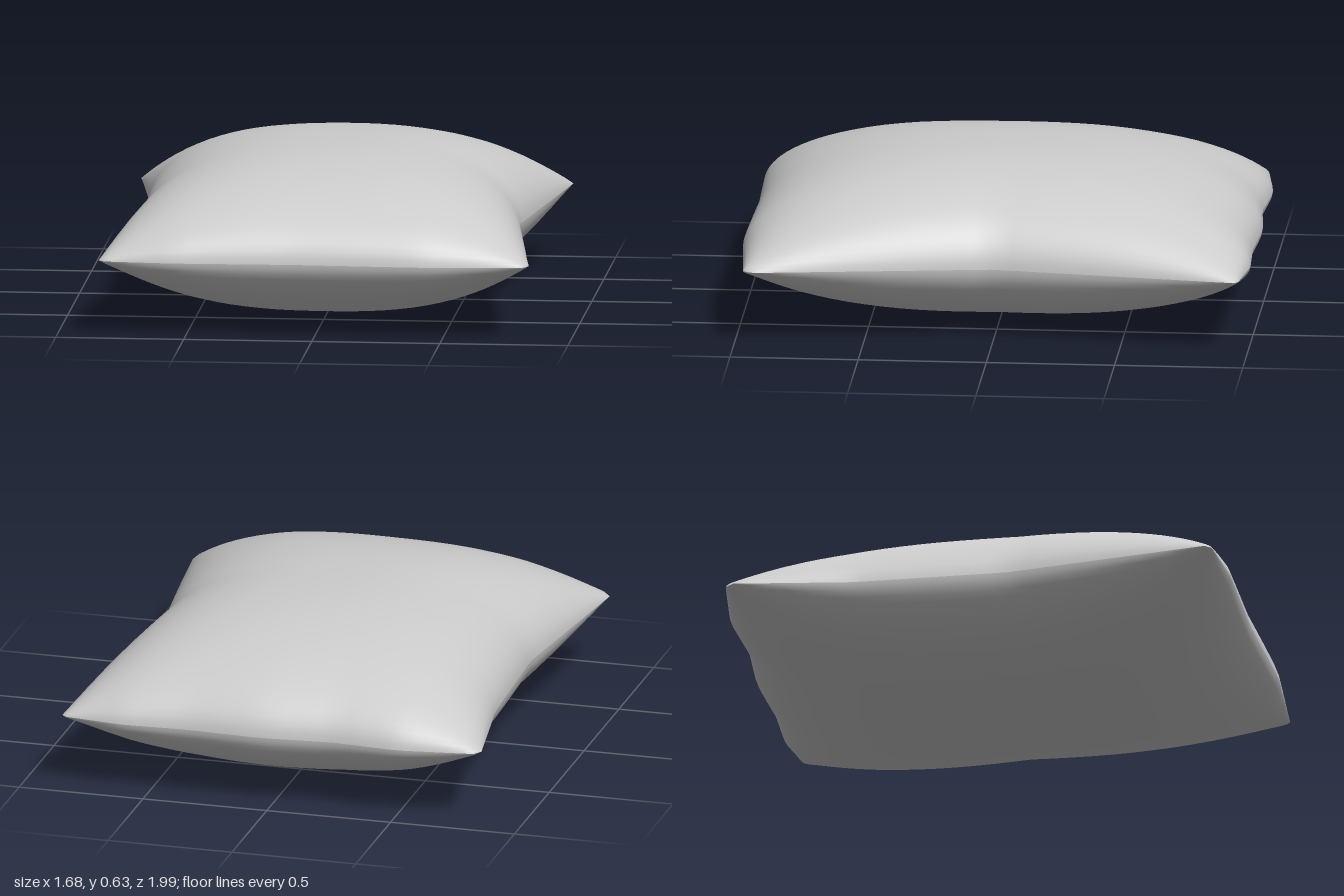
import * as THREE from 'three';

const SEAM = 0.297;

// Seam outline: [position along the edge (-1..1), distance from centre]
const LEFT = [[-1, 0.84], [0, 0.715], [1, 0.84]];                       // +x edge
const RIGHT = [[-1, 0.845], [-0.5, 0.77], [0.15, 0.745], [1, 0.838]];   // -x edge
const BACK = [[-1, 0.92], [-0.97, 0.955], [-0.62, 0.995], [-0.3, 0.975], [0.04, 1],
  [0.4, 0.985], [0.7, 0.997], [0.98, 0.968], [1, 0.95]];
const FRONT = [[-1, 0.945], [-0.97, 0.97], [-0.65, 0.992], [-0.1, 0.98], [0.5, 0.997],
  [0.98, 0.963], [1, 0.92]];

// Linear interpolation along an outline
function along(points, t) {
  let i = 1;
  while (i < points.length - 1 && t > points[i][0]) i++;
  const [a, b] = [points[i - 1], points[i]];
  return THREE.MathUtils.mapLinear(t, a[0], b[0], a[1], b[1]);
}

// Plump cushion profile: full in the middle, falling steeply to the seam
const bulge = (t, power) => Math.pow(Math.max(0, 1 - Math.pow(Math.abs(t), 2.5)), power);

// One fabric panel; side is +1 for the top and -1 for the underside
function makePanel(name, side, height, power, material) {
  const geometry = new THREE.PlaneGeometry(2, 2, 40, 40);
  geometry.rotateX(-side * Math.PI / 2);
  const p = geometry.attributes.position;
  for (let i = 0; i < p.count; i++) {
    // Crowd the grid towards the seam, where the curvature is highest
    const u = Math.sin(p.getX(i) * Math.PI / 2);
    const v = Math.sin(p.getZ(i) * Math.PI / 2);
    const x = u * along(u > 0 ? LEFT : RIGHT, v);
    const z = v * along(v > 0 ? FRONT : BACK, u);
    p.setXYZ(i, x, SEAM + side * height * bulge(u, power) * bulge(v, power), z);
  }
  geometry.computeVertexNormals();
  const mesh = new THREE.Mesh(geometry, material);
  mesh.name = name;
  return mesh;
}

export function createModel() {
  const group = new THREE.Group();
  group.name = 'pillow';
  const material = new THREE.MeshStandardMaterial({ color: 0xcccccc });
  group.add(makePanel('topPanel', 1, 0.338, 0.53, material));
  group.add(makePanel('bottomPanel', -1, SEAM, 0.57, material));
  return group;
}
